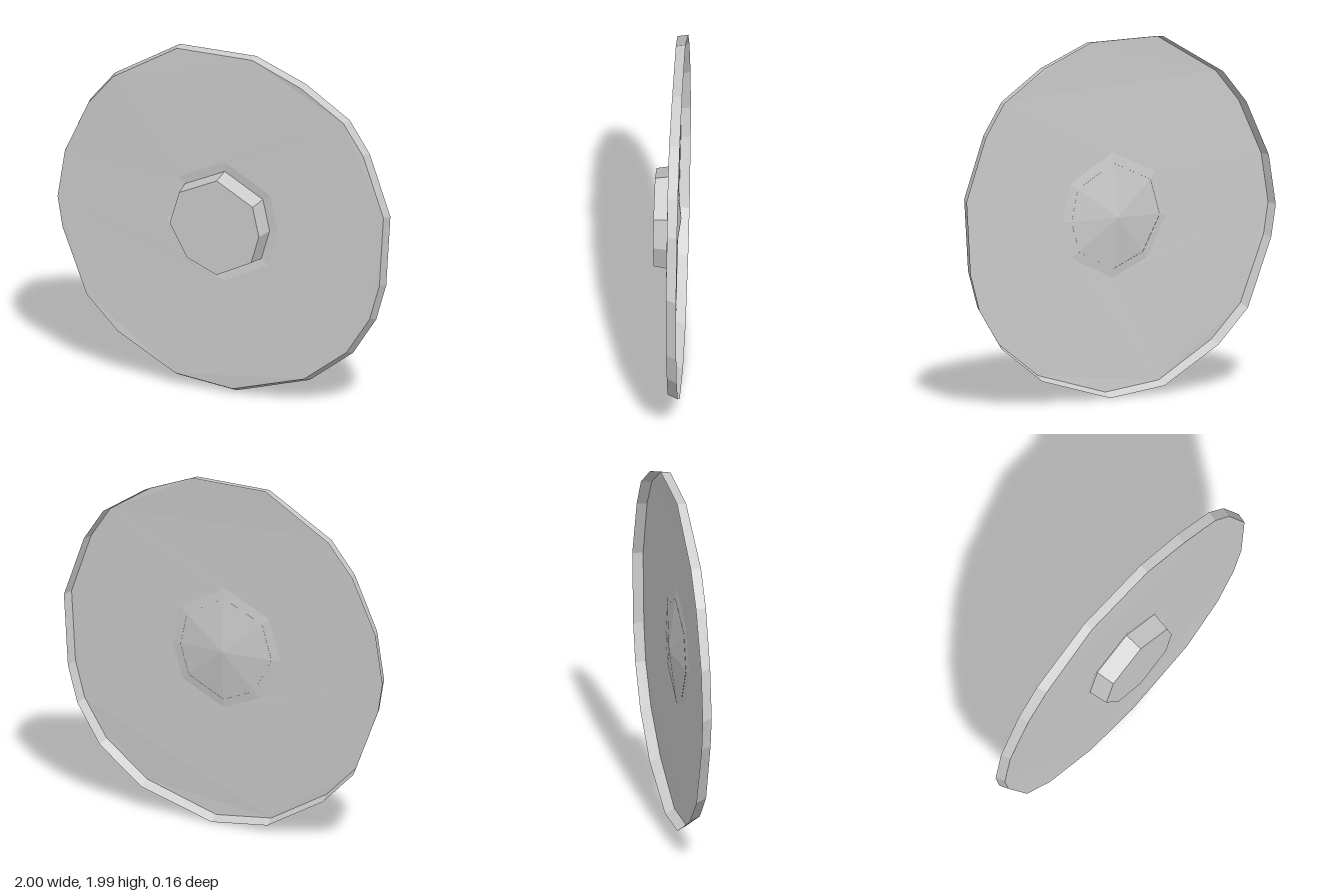
import * as THREE from 'three';

// Irregular outlines, clockwise from the top, as [x, y] about the centre
const rimOutline = [
  [-0.27, 1], [0.19, 1], [0.49, 0.88], [0.75, 0.71], [0.87, 0.53], [0.995, 0.18], [0.97, -0.23],
  [0.91, -0.44], [0.77, -0.66], [0.51, -0.86], [0.07, -0.99], [-0.28, -0.95], [-0.63, -0.75],
  [-0.82, -0.56], [-0.97, -0.18], [-1, 0], [-0.955, 0.28], [-0.81, 0.59], [-0.66, 0.77],
];
const bossOutline = [
  [0.02, 0.31], [0.25, 0.18], [0.29, 0], [0.24, -0.17], [0.02, -0.28], [-0.17, -0.2], [-0.28, 0], [-0.22, 0.2],
];

// Slight hand-beaten waviness of the sheet
const ripple = (x, y) => -0.021 + 0.005 * Math.sin(5 * x + 2) * Math.cos(4 * y);

const ring = (outline, scale, z, dy = 0) => outline.map(([x, y]) => {
  const px = x * scale, py = y * scale + dy;
  return [px, py, typeof z === 'function' ? z(px, py) : z];
});

// Flat-sided band from a front ring to a back ring
function band(front, back) {
  const p = [];
  front.forEach((a, i) => {
    const j = (i + 1) % front.length;
    p.push(...a, ...back[i], ...front[j], ...front[j], ...back[i], ...back[j]);
  });
  return p;
}

// Triangles from a ring to one centre point
function fan(loop, centre) {
  return loop.flatMap((a, i) => [...a, ...loop[(i + 1) % loop.length], ...centre]);
}

// Sheet between an outer and an inner ring, keeping each ring's depth
function annulus(outer, inner) {
  const v = (r) => r.map(([x, y]) => new THREE.Vector2(x, y));
  const all = [...outer, ...inner];
  return THREE.ShapeUtils.triangulateShape(v(outer), [v(inner)])
    .flatMap(([a, b, c]) => {
      const [A, B, C] = [all[a], all[b], all[c]];
      const cross = (B[0] - A[0]) * (C[1] - A[1]) - (B[1] - A[1]) * (C[0] - A[0]);
      return cross > 0 ? [...A, ...B, ...C] : [...A, ...C, ...B];
    });
}

export function createModel() {
  const model = new THREE.Group();
  model.name = 'roundShield';
  const material = new THREE.MeshStandardMaterial({ color: 0xcccccc, flatShading: true, side: THREE.DoubleSide });

  const add = (name, positions) => {
    const g = new THREE.BufferGeometry();
    g.setAttribute('position', new THREE.Float32BufferAttribute(positions, 3));
    g.computeVertexNormals();
    const mesh = new THREE.Mesh(g, material);
    mesh.name = name;
    mesh.position.y = 1;
    model.add(mesh);
  };

  const rimFront = ring(rimOutline, 0.983, ripple, 0.01);
  const rimBack = ring(rimOutline, 1, -0.076);
  const dentEdge = ring(bossOutline, 1.18, -0.02);
  const bossFront = ring(bossOutline, 0.94, 0.08);

  // Open-backed pan: front sheet, flared rim and a shallow dent behind the boss
  add('frontSheet', annulus(rimFront, dentEdge));
  // Outlines run clockwise, so reversed loops face the front
  add('rim', band(rimFront, rimBack).map((n) => n));
  add('dent', fan([...dentEdge].reverse(), [0.01, 0.01, -0.065]));

  // Tapered eight-sided boss
  add('bossWall', band(bossFront, ring(bossOutline, 1, -0.028)));
  add('bossFace', fan([...bossFront].reverse(), [0.01, 0.01, 0.08]));
  return model;
}
